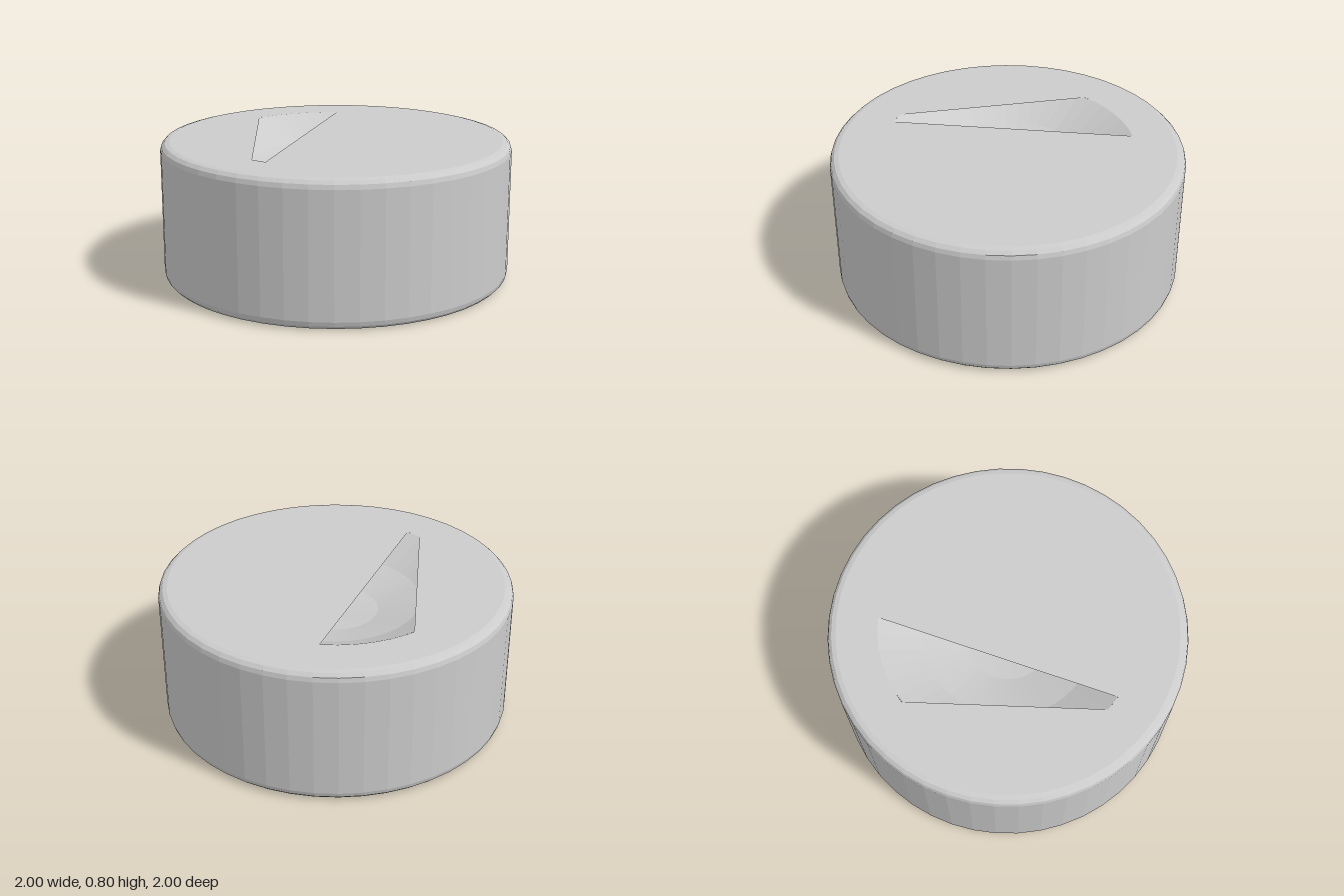
import * as THREE from 'three';

const SIDES = 48;
const HEIGHT = 0.8;
const BEVEL = 0.05;
const DISH_RADIUS = 0.72;
const DISH_DEPTH = 0.22;

const polar = (r, deg) => {
  const a = THREE.MathUtils.degToRad(deg);
  return new THREE.Vector2(r * Math.cos(a), r * Math.sin(a));
};

export function createModel() {
  const group = new THREE.Group();
  const material = new THREE.MeshStandardMaterial({ color: 0xcccccc, flatShading: true });
  const add = (name, geometry) => {
    const mesh = new THREE.Mesh(geometry, material);
    mesh.name = name;
    group.add(mesh);
  };

  // Drum with closed bottom and rounded rims
  const profile = [new THREE.Vector2(0, 0)];
  const steps = 3;
  for (const [cy, start] of [[BEVEL, -90], [HEIGHT - BEVEL, 0]]) {
    for (let i = 0; i <= steps; i++) {
      const p = polar(BEVEL, start + (90 * i) / steps);
      profile.push(new THREE.Vector2(1 - BEVEL + p.x, cy + p.y));
    }
  }
  add('body', new THREE.LatheGeometry(profile, SIDES));

  // Flat top with a wedge-shaped opening
  const rim = [];
  for (let i = 0; i < SIDES; i++) rim.push(polar(1 - BEVEL, (360 * i) / SIDES));
  const top = new THREE.Shape(rim);
  const opening = [37.5, 45, 52.5, 60, 67.5, 75, 78.9, 180, 187.1];
  top.holes.push(new THREE.Path(opening.map((deg) => polar(DISH_RADIUS, deg))));
  const topGeometry = new THREE.ShapeGeometry(top);
  topGeometry.rotateX(-Math.PI / 2);
  topGeometry.translate(0, HEIGHT, 0);
  add('top', topGeometry);

  // Shallow spherical dish seen through the opening
  const R = (DISH_RADIUS ** 2 + DISH_DEPTH ** 2) / (2 * DISH_DEPTH);
  const dish = [];
  for (let i = 3; i >= 0; i--) {
    const r = (DISH_RADIUS * i) / 3;
    dish.push(new THREE.Vector2(r, HEIGHT + R - DISH_DEPTH - Math.sqrt(R * R - r * r)));
  }
  add('dish', new THREE.LatheGeometry(dish, SIDES));

  return group;
}
